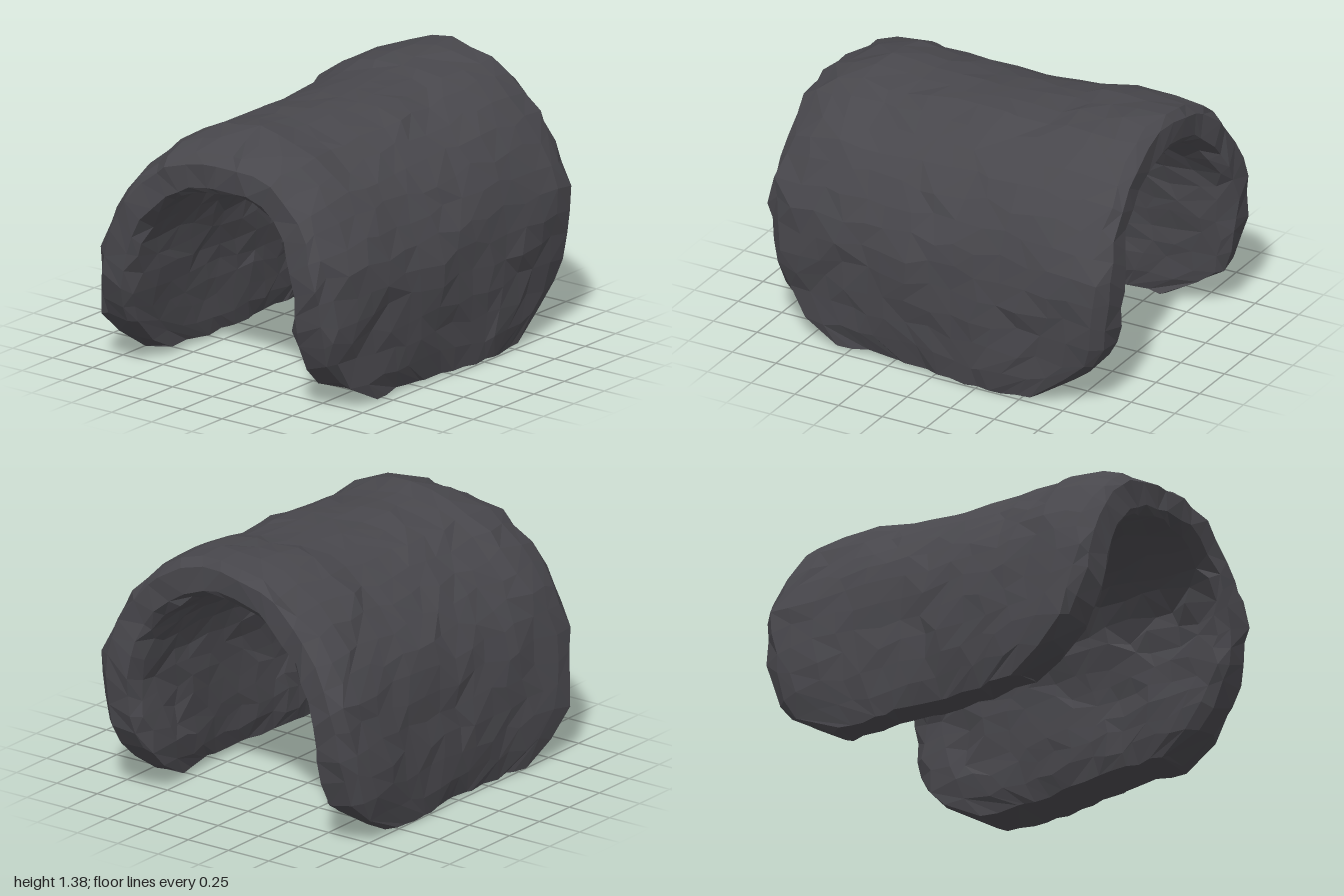
import * as THREE from 'three';

// small seeded random generator, returns -1..1
function seeded(seed) {
  return () => {
    seed = (seed * 16807) % 2147483647;
    return (seed / 2147483647) * 2 - 1;
  };
}

const curve = (pts) => new THREE.CatmullRomCurve3(pts.map(([z, y]) => new THREE.Vector3(0, y, z)));

// arch profiles as [z, y], from the front foot over the top to the back foot
const outerCurve = curve([
  [0.73, 0.01], [0.745, 0.25], [0.77, 0.5], [0.765, 0.65], [0.74, 0.8], [0.68, 0.93], [0.6, 1.07],
  [0.48, 1.185], [0.34, 1.28], [0.1, 1.33], [-0.26, 1.28], [-0.51, 1.11], [-0.68, 0.88],
  [-0.74, 0.72], [-0.765, 0.5], [-0.78, 0.33], [-0.775, 0.15], [-0.77, 0.01]]);
const innerCurve = curve([
  [0.505, 0.04], [0.49, 0.25], [0.5, 0.5], [0.49, 0.65], [0.435, 0.87], [0.29, 1.025],
  [0.09, 1.1], [-0.16, 1.075], [-0.325, 0.97], [-0.455, 0.79], [-0.51, 0.53], [-0.54, 0.28], [-0.555, 0.03]]);

// piecewise linear lookup in a list of [key, value]
function lookup(table, key) {
  const i = Math.max(1, table.findIndex((e) => e[0] > key));
  const [k0, v0] = table[i - 1], [k1, v1] = table[i];
  return THREE.MathUtils.lerp(v0, v1, Math.max(0, (key - k0) / (k1 - k0)));
}

// half width of the shell by height: rounded lower corners
const widths = [[0, 0.56], [0.08, 0.72], [0.18, 0.84], [0.3, 0.92], [0.5, 0.97], [0.8, 0.995], [1.2, 0.965], [2, 0.95]];
// how far the top, front and back swell across the width
const topSwell = [[-2, -0.07], [-0.93, -0.07], [-0.65, -0.005], [-0.45, -0.03], [0.1, 0], [0.3, -0.005], [0.5, 0.03], [0.88, 0.055], [2, 0]];
const frontSwell = [[-2, -0.065], [-0.93, -0.06], [-0.3, -0.01], [0.3, 0.025], [0.7, 0.005], [0.95, -0.01], [2, -0.01]];
const backSwell = [[-2, 0.02], [-0.85, 0.02], [0, -0.015], [0.3, 0], [0.9, 0.015], [2, 0.015]];

function roughArch() {
  const rand = seeded(4271);
  const U = 28, N = 15, ring = 2 * N + 4;
  const pos = [], index = [];

  // one closed cross-section per step along the arch
  for (let i = 0; i <= U; i++) {
    const foot = i === 0 || i === U;
    const o = outerCurve.getPointAt(i / U), n = innerCurve.getPointAt(i / U);
    const out = o.clone().sub(n).normalize();
    const w = lookup(widths, o.y);
    for (let k = 0; k < ring; k++) {
      const inner = k > N + 1;
      const m = inner ? ring - 1 - k : k;         // column across the width
      const rim = m === 0 || m === N + 1;
      const v = rim ? (m ? 1 : -1) : -0.94 + 1.88 * (m - 1) / (N - 1);
      let t = rim ? 0.24 : foot ? 0.09 : 0;       // depth into the thickness
      if (!rim && Math.abs(v) > 0.9) t = 0.06;
      if (inner) t = 1 - t;
      const p = o.clone().lerp(n, t);
      const x = v * w;
      const side = out.z > 0 ? lookup(frontSwell, x) : lookup(backSwell, x);
      const swell = out.y > 0 ? out.y * out.y * lookup(topSwell, x) : 0;
      // broad waves plus small chips
      const wave = 0.006 * Math.sin(5.3 * x + 0.65 * i) + 0.005 * Math.sin(8 * x - 0.9 * i);
      p.addScaledVector(out, swell + out.z * out.z * side + wave + 0.008 * rand());
      const slip = rim ? 0.012 : 0.035;
      const along = (foot ? 0.012 : 0.025) * rand();
      pos.push(x + slip * rand(), p.y + along * out.z, p.z - along * out.y);
    }
  }

  // split each quad along a varying diagonal
  const quad = (a, b, c, d) => {
    if (rand() > 0) index.push(a, b, c, a, c, d);
    else index.push(a, b, d, b, c, d);
  };
  for (let i = 0; i < U; i++) {
    for (let k = 0; k < ring; k++) {
      const a = i * ring + k, b = i * ring + (k + 1) % ring;
      quad(a, b, b + ring, a + ring);
    }
  }
  // undersides of the two feet
  const last = U * ring;
  for (let k = 0; k <= N; k++) {
    const m = ring - 1 - k;
    quad(k, m, m - 1, k + 1);
    quad(last + k, last + k + 1, last + m - 1, last + m);
  }

  const geo = new THREE.BufferGeometry();
  geo.setAttribute('position', new THREE.Float32BufferAttribute(pos, 3));
  geo.setIndex(index);

  // stand on the ground, centred
  geo.computeBoundingBox();
  const { min, max } = geo.boundingBox;
  geo.translate(-(min.x + max.x) / 2, -min.y, -(min.z + max.z) / 2);
  const flat = geo.toNonIndexed();
  flat.computeVertexNormals();
  return flat;
}

export function createModel() {
  const darkStone = new THREE.MeshStandardMaterial({ color: 0x48474c, flatShading: true });
  darkStone.name = 'dark stone';

  const arch = new THREE.Mesh(roughArch(), darkStone);
  arch.name = 'curvedShell';

  const group = new THREE.Group();
  group.name = 'roughArch';
  group.add(arch);
  return group;
}
